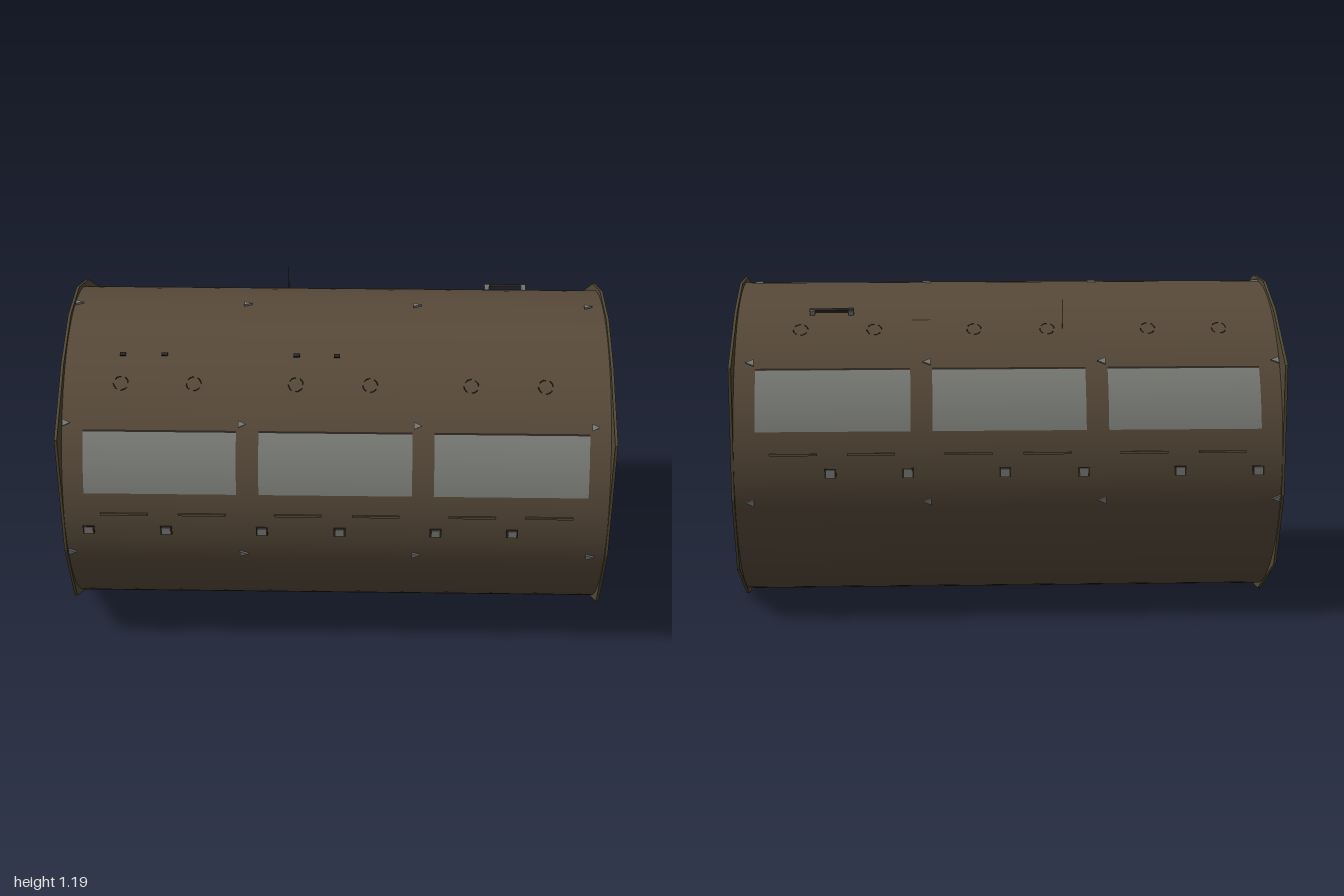
import * as THREE from 'three';

const R = 0.586, CY = 0.592, END = 0.985;

export function createModel() {
  const model = new THREE.Group();
  model.name = 'hullSection';
  const mat = (name, color, side = THREE.FrontSide) => {
    const m = new THREE.MeshStandardMaterial({ color, side });
    m.name = name;
    return m;
  };
  const hullBrown = mat('hullBrown', 0x584a3a, THREE.DoubleSide);
  const plateOlive = mat('plateOlive', 0x524836);
  const grey = mat('paleGrey', 0x7d7f7c);
  const glass = mat('windowGrey', 0x7e807b, THREE.DoubleSide);
  const dark = mat('darkTrim', 0x2c2620);

  const add = (name, geo, material, x = 0, y = 0, z = 0, parent = model) => {
    const m = new THREE.Mesh(geo, material);
    m.name = name;
    m.position.set(x, y, z);
    parent.add(m);
    return m;
  };
  const box = (name, m, w, h, d, x, y, z) => add(name, new THREE.BoxGeometry(w, h, d), m, x, y, z);

  // Curved strip of the hull between two elevation angles (0 = front, PI / 2 = top)
  const strip = (name, m, r, a0, a1, x0, x1, seg) => {
    const g = new THREE.CylinderGeometry(r, r, x1 - x0, seg, 1, true, a0, a1 - a0);
    g.rotateZ(Math.PI / 2);
    return add(name, g, m, (x0 + x1) / 2, CY, 0);
  };
  // Small part resting on the skin, its local z pointing outwards
  const onSkin = (name, geo, m, x, a, lift = 0) => {
    const p = add(name, geo, m, x, CY + (R + lift) * Math.sin(a), (R + lift) * Math.cos(a));
    p.rotation.x = -a;
    return p;
  };
  const angleAt = y => Math.asin((y - CY) / R);
  const bothSides = a => [a, Math.PI - a];

  // Barrel skin
  strip('hullSkin', hullBrown, R, 0, Math.PI * 2, -END + 0.005, END - 0.005, 96);

  // Faceted end plates with a rectangular doorway
  const half = [[0.11, 1.19], [0.33, 1.11], [0.59, 0.945], [0.59, 0.475], [0.48, 0.19], [0.175, 0.012], [0.09, 0.003]];
  const outline = [...half, ...half.map(([z, y]) => [-z, y]).reverse()];
  const rect = (w, y0, y1) => [[-w, y0], [w, y0], [w, y1], [-w, y1]];
  const plate = (pts, hole, depth) => {
    const s = new THREE.Shape(pts.map(p => new THREE.Vector2(...p)));
    s.holes.push(new THREE.Path(hole.map(p => new THREE.Vector2(...p))));
    return new THREE.ExtrudeGeometry(s, { depth, bevelEnabled: false }).rotateY(Math.PI / 2);
  };
  const doorway = rect(0.168, 0.603, 0.9);
  for (const s of [-1, 1]) {
    add('endPlate', plate(outline, doorway, 0.01), plateOlive, s > 0 ? END - 0.01 : -END);
    add('doorFrame', plate(rect(0.24, 0.594, 0.947), doorway, 0.055), grey, s > 0 ? 0.945 : -1);
  }

  // Cabin floor and side rails
  box('cabinFloor', plateOlive, 1.94, 0.012, 1.1, 0, 0.588, 0);
  for (const s of [-1, 1]) {
    for (const y of [0.66, 0.78, 0.93]) box('cabinRail', grey, 1.86, 0.016, 0.016, 0, y, s * 0.29);
    for (let i = 0; i < 4; i++) box('cabinPost', grey, 0.03, 0.36, 0.03, -0.94 + i * 0.627, 0.77, s * 0.31);
  }

  // Wide windows on both flanks
  const w0 = angleAt(0.715), w1 = angleAt(0.92);
  for (const [x0, x1] of [[-0.9, -0.355], [-0.275, 0.272], [0.35, 0.9]]) {
    for (const back of [false, true]) {
      const range = (a, b) => back ? [Math.PI - b, Math.PI - a] : [a, b];
      strip('window', glass, R + 0.002, ...range(w0, w1), x0, x1, 12);
      strip('windowTopSeal', dark, R + 0.004, ...range(w1, w1 + 0.012), x0, x1, 1);
    }
  }

  // Side lamps and the slim grab rails around them
  for (const x of [-0.89, -0.61, -0.265, 0.015, 0.36, 0.635]) {
    for (const a of bothSides(angleAt(0.567))) {
      onSkin('lampBase', new THREE.BoxGeometry(0.042, 0.034, 0.008), dark, x, a);
      onSkin('sideLamp', new THREE.BoxGeometry(0.03, 0.028, 0.016), grey, x, a);
    }
    for (const a of bothSides(angleAt(0.635))) {
      onSkin('grabRail', new THREE.BoxGeometry(0.17, 0.008, 0.012), hullBrown, x + 0.13, a);
    }
  }

  // Wedge markers in rows along the barrel
  const wedge = new THREE.ExtrudeGeometry(
    new THREE.Shape([[-0.013, -0.013], [0.016, 0], [-0.013, 0.013]].map(p => new THREE.Vector2(...p))),
    { depth: 0.008, bevelEnabled: false });
  for (const x of [-0.96, -0.335, 0.29, 0.92]) {
    for (const a of [...bothSides(angleAt(0.46)), ...bothSides(angleAt(0.945)), Math.PI / 2, -Math.PI / 2]) {
      onSkin('wedgeMarker', wedge, grey, x, a, -0.001);
    }
  }

  // Round roof ports
  for (const x of [-0.77, -0.51, -0.145, 0.12, 0.48, 0.745]) {
    for (const a of bothSides(angleAt(1.05))) {
      for (let k = 0; k < 4; k++) {
        const arc = new THREE.TorusGeometry(0.026, 0.0018, 4, 6, 1.0).rotateZ(k * Math.PI / 2);
        onSkin('roofPortRim', arc, dark, x, a);
      }
    }
  }
  for (const x of [-0.77, -0.62, -0.145, 0]) {
    onSkin('roofStud', new THREE.BoxGeometry(0.022, 0.012, 0.012), dark, x, angleAt(1.113));
  }

  // Hatch outline on the rear roof
  const h0 = Math.PI - Math.acos(0.33 / R), h1 = Math.PI - Math.acos(0.5 / R);
  for (const x of [0.275, 0.345]) strip('hatchSeam', dark, R + 0.002, h1, h0, x - 0.0025, x + 0.0025, 8);
  strip('hatchSeam', dark, R + 0.002, h0 - 0.007, h0, 0.275, 0.345, 1);

  // Rear roof handle and whip aerial
  const ha = Math.PI - Math.acos(0.295 / R);
  onSkin('roofHandle', new THREE.BoxGeometry(0.16, 0.012, 0.01), dark, 0.635, ha, 0.016);
  for (const x of [0.565, 0.705]) onSkin('handleFoot', new THREE.BoxGeometry(0.018, 0.02, 0.026), grey, x, ha, 0.007);
  add('aerial', new THREE.CylinderGeometry(0.0015, 0.0015, 0.11, 6), dark, -0.2, 1.1, -0.363);

  return model;
}
